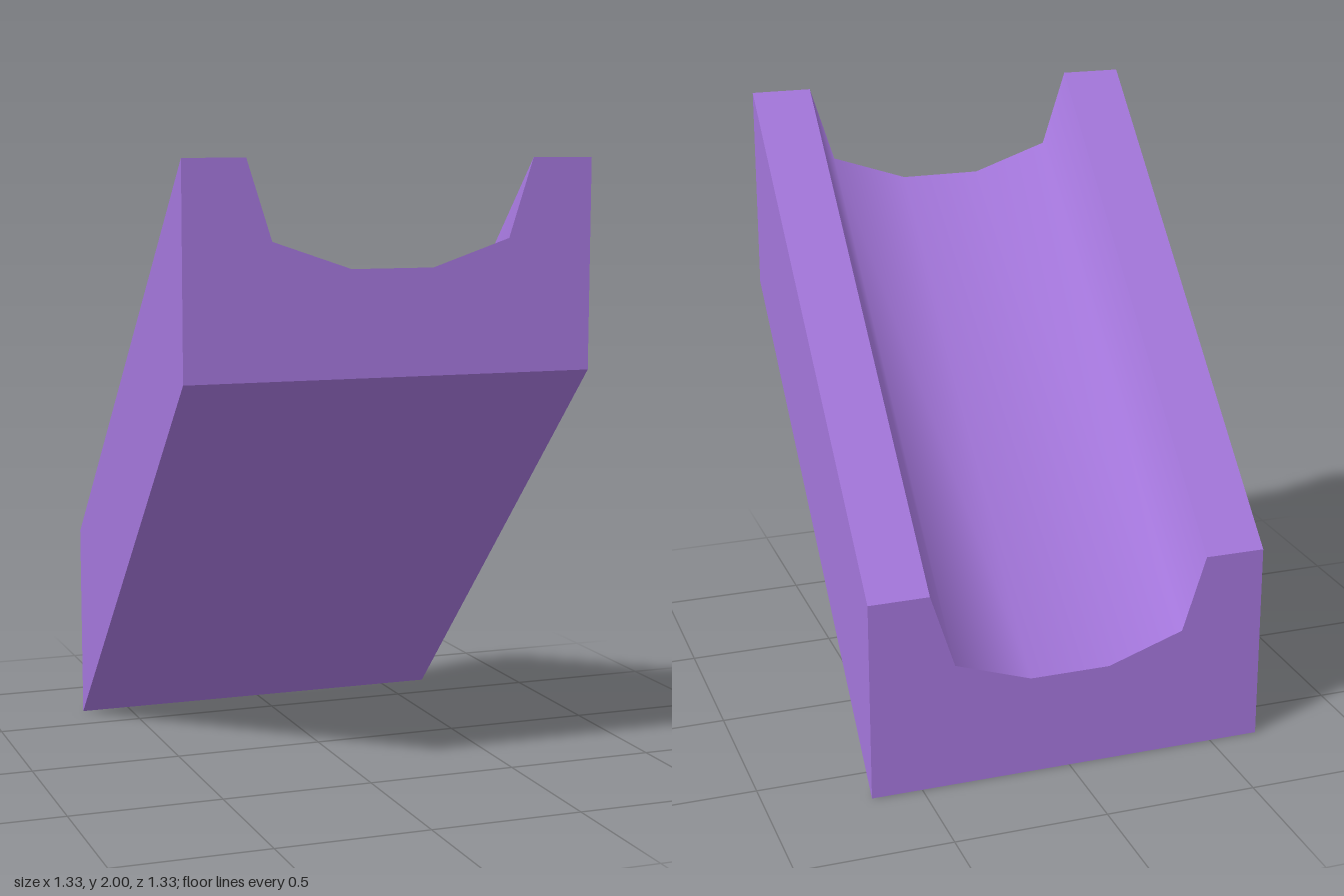
import * as THREE from 'three';
import { toCreasedNormals } from 'three/addons/utils/BufferGeometryUtils.js';

const HALF = 2 / 3; // half width and half depth

// Copies one extrusion group (caps or walls) into its own geometry
function takeGroup(geometry, { start, count }) {
  const positions = geometry.attributes.position.array.slice(start * 3, (start + count) * 3);
  const part = new THREE.BufferGeometry();
  part.setAttribute('position', new THREE.BufferAttribute(positions, 3));
  part.computeVertexNormals();
  return part;
}

export function createModel() {
  const group = new THREE.Group();
  group.name = 'slopedChannel';

  const purple = new THREE.MeshStandardMaterial({ color: 0xa678de });
  purple.name = 'purple';

  // Block profile with a faceted gutter cut into the top
  const groove = [[0.467, 0.667], [0.387, 0.419], [0.134, 0.333]];
  const right = [[HALF, 0], [HALF, HALF], ...groove];
  const left = right.map(([x, y]) => [-x, y]).reverse();
  const shape = new THREE.Shape([...right, ...left].map(([x, y]) => new THREE.Vector2(x, y)));

  // Extrude front to back, then shear upward toward the front at 45 degrees
  const block = new THREE.ExtrudeGeometry(shape, { depth: 2 * HALF, bevelEnabled: false });
  block.translate(0, 0, -HALF);
  const pos = block.attributes.position;
  for (let i = 0; i < pos.count; i++) pos.setY(i, pos.getY(i) + pos.getZ(i) + HALF);

  // Flat ends; walls smooth only inside the gutter
  const ends = new THREE.Mesh(takeGroup(block, block.groups[0]), purple);
  ends.name = 'channelEnds';
  const walls = new THREE.Mesh(toCreasedNormals(takeGroup(block, block.groups[1]), Math.PI / 3), purple);
  walls.name = 'channelWalls';

  group.add(ends, walls);
  return group;
}
